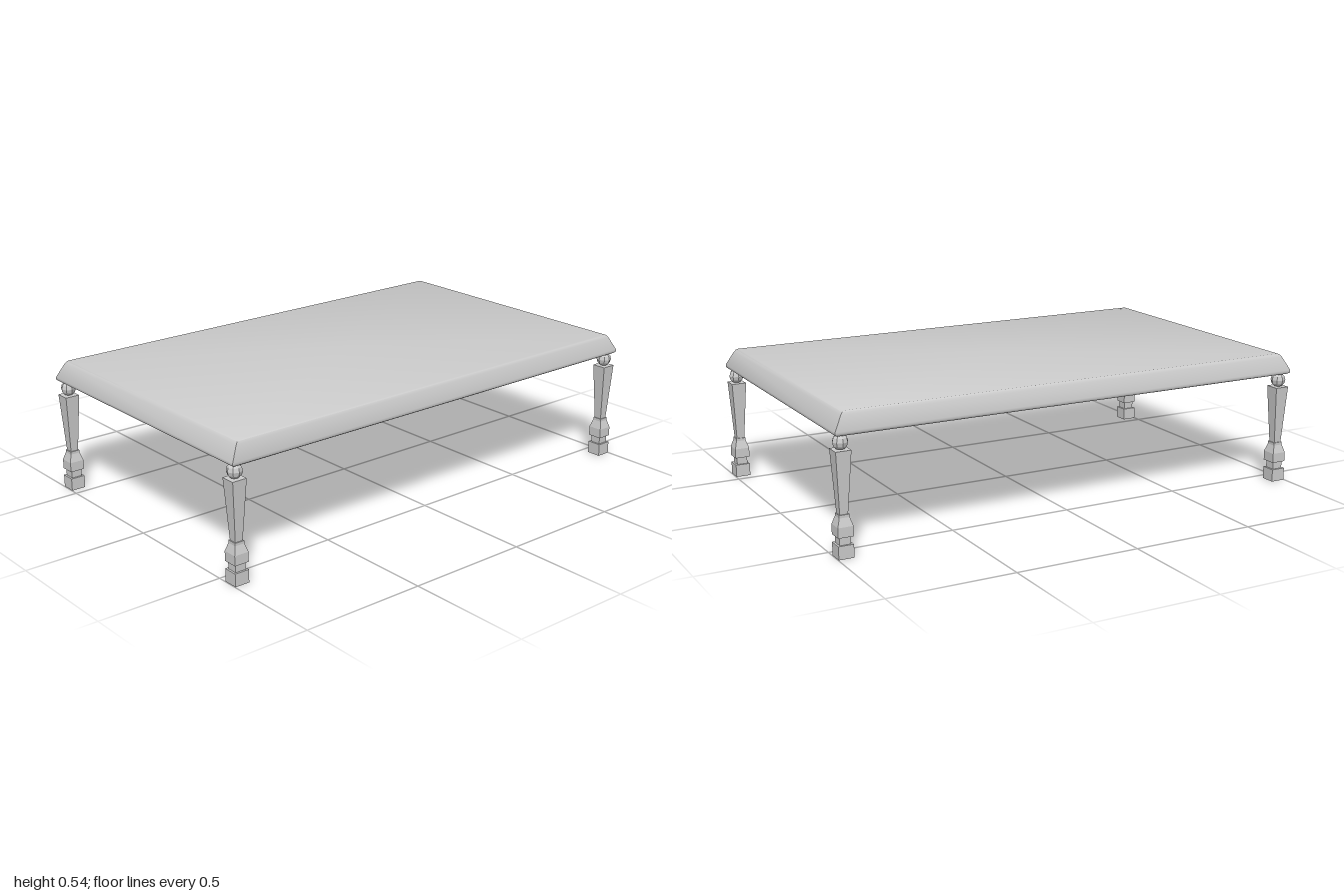
import * as THREE from 'three';
import { toCreasedNormals } from 'three/addons/utils/BufferGeometryUtils.js';

// Square-section turning: [half width, height] pairs from bottom to top
function squareTurning(profile) {
  const points = profile.map(([h, y]) => new THREE.Vector2(h * Math.SQRT2, y));
  return new THREE.LatheGeometry(points, 4, Math.PI / 4);
}

// Rectangular slab whose rim follows [edge fraction inset, height] pairs
function tableTopGeometry() {
  const rim = [[0.2, 0.456], [0.04, 0.46], [0, 0.465], [0, 0.472], [0.65, 0.526], [0.82, 0.536], [1, 0.54]];
  const profile = rim.map(([t, y]) => [2 - t, y]);
  const geometry = squareTurning([[0, 0.456], ...profile, [0, 0.54]]);
  const pos = geometry.attributes.position;
  for (let i = 0; i < pos.count; i++) {
    const h = Math.abs(pos.getX(i));
    if (h < 0.01) {
      pos.setX(i, 0);
      pos.setZ(i, 0);
      continue;
    }
    const t = 2 - h;
    pos.setX(i, Math.sign(pos.getX(i)) * (1 - 0.047 * t));
    pos.setZ(i, Math.sign(pos.getZ(i)) * (0.6 - 0.03 * t));
  }
  return toCreasedNormals(geometry, 0.8);
}

export function createModel() {
  const model = new THREE.Group();
  model.name = 'coffeeTable';
  const smooth = new THREE.MeshStandardMaterial({ color: 0xcccccc });
  const flat = new THREE.MeshStandardMaterial({ color: 0xcccccc, flatShading: true });

  const add = (parent, name, geometry, material) => {
    const mesh = new THREE.Mesh(geometry, material);
    mesh.name = name;
    parent.add(mesh);
    return mesh;
  };

  add(model, 'tableTop', tableTopGeometry(), smooth);

  // Leg parts: foot block, neck, flared knee, collar and tapered shaft
  const legGeometry = squareTurning([
    [0, 0], [0.03, 0], [0.03, 0.051], [0.022, 0.051], [0.022, 0.081],
    [0.03, 0.081], [0.03, 0.12], [0.02, 0.152], [0.02, 0.163],
    [0.016, 0.163], [0.03, 0.4], [0, 0.4],
  ]);
  const ballGeometry = new THREE.SphereGeometry(0.03, 8, 6);

  for (const sx of [-1, 1]) {
    for (const sz of [-1, 1]) {
      const leg = new THREE.Group();
      leg.name = (sz > 0 ? 'front' : 'back') + (sx > 0 ? 'Left' : 'Right') + 'Leg';
      leg.position.set(sx * 0.968, 0, sz * 0.564);
      add(leg, 'turnedPost', legGeometry, flat);
      add(leg, 'ball', ballGeometry, flat).position.y = 0.428;
      model.add(leg);
    }
  }
  return model;
}
